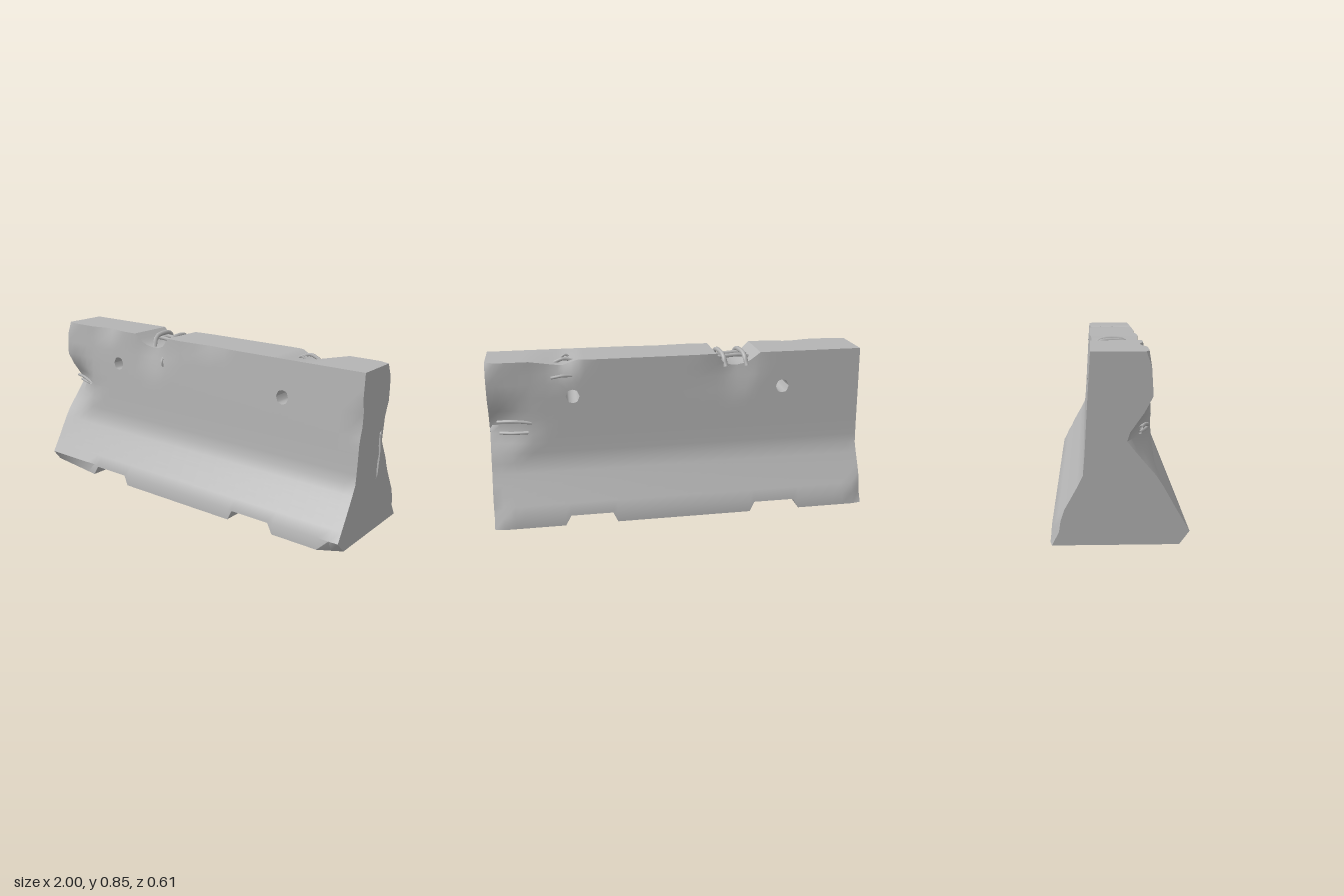
import * as THREE from 'three';
import { toCreasedNormals } from 'three/addons/utils/BufferGeometryUtils.js';

const TOP = 0.845, HOLE_Y = 0.655, HOLE_R = 0.036;

// piecewise linear lookup through [position, value] pairs
function lerpAt(points, t) {
  if (t <= points[0][0]) return points[0][1];
  for (let i = 1; i < points.length; i++) {
    const [a, va] = points[i - 1], [b, vb] = points[i];
    if (t <= b) return va + (vb - va) * (t - a) / (b - a);
  }
  return points[points.length - 1][1];
}

// half thickness of the barrier at each height
const halfWidth = [[0, 0.307], [0.06, 0.302], [0.16, 0.243], [0.26, 0.187], [0.31, 0.162], [0.4, 0.154], [0.6, 0.143], [TOP, 0.128]];
// underside with two drainage channels, upper edge with the broken gap
const underside = [[0.36, 0], [0.385, 0.052], [0.605, 0.052], [0.635, 0]];
const gap = [[-0.44, TOP], [-0.41, 0.82], [-0.385, 0.8], [-0.36, 0.787], [-0.32, 0.778], [-0.28, 0.78], [-0.24, 0.795], [-0.2, TOP]];
const backGap = [[0.525, TOP], [0.605, 0.815], [0.635, 0.815], [0.78, TOP]];

// chips and dents: side (1 front, -1 back), centre x and y, radii, depth
const dents = [
  [1, -1, 0.47, 0.24, 0.17, 0.13], [-1, 1, 0.5, 0.24, 0.17, 0.08],
  [1, -1, 0, 0.37, 0.06, 0.05], [1, 1, 0, 0.11, 0.06, 0.065],
  [-1, 1, 0.06, 0.06, 0.08, 0.04], [-1, -1, 0.06, 0.06, 0.08, 0.035],
  [1, 1, 0.62, 0.045, 0.1, 0.025], [1, -0.66, TOP, 0.12, 0.08, 0.03],
  [1, -0.3, 0.79, 0.15, 0.16, 0.03], [-1, -0.3, 0.79, 0.15, 0.16, 0.03],
  [1, 0.1, TOP, 0.16, 0.03, 0.012], [-1, 0.62, TOP, 0.13, 0.1, 0.05],
  [-1, 1, TOP, 0.06, 0.05, 0.025], [1, -1, TOP, 0.06, 0.06, 0.02],
];

function surfacePoint(x, row, side) {
  let top = lerpAt(gap, x);
  if (side < 0) top = Math.min(top, lerpAt(backGap, x));
  const y = Math.min(Math.max(row, lerpAt(underside, Math.abs(x))), top);
  let z = lerpAt(halfWidth, y);
  for (const [s, cx, cy, rx, ry, depth] of dents) {
    if (s === side) z -= depth * Math.max(0, 1 - Math.hypot((x - cx) / rx, (y - cy) / ry));
  }
  return new THREE.Vector3(x, y, z * side);
}

function buildBody() {
  const half = [0.1, 0.2, 0.24, 0.28, 0.32, 0.36, 0.385, 0.41, 0.44, 0.495, 0.525, 0.565, 0.605, 0.635, 0.7, 0.78, 0.84, 0.89, 0.95, 1];
  const xs = [...half.map((x) => -x).reverse(), 0, ...half];
  const ys = [0, 0.06, 0.11, 0.16, 0.21, 0.26, 0.31, 0.36, 0.41, 0.46, 0.5, 0.54, 0.585, HOLE_Y, 0.725, 0.78, TOP];
  const front = xs.map((x) => ys.map((y) => surfacePoint(x, y, 1)));
  const back = xs.map((x) => ys.map((y) => surfacePoint(x, y, -1)));
  const last = ys.length - 1, end = xs.length - 1;
  const pos = [];
  const tri = (a, b, c) => {
    const n = b.clone().sub(a).cross(c.clone().sub(a));
    if (n.length() > 1e-8) for (const p of [a, b, c]) pos.push(p.x, p.y, p.z);
  };
  const quad = (a, b, c, d) => { tri(a, b, c); tri(a, c, d); };

  // lifting holes: square patches of the grid are left open for them
  const j0 = ys.indexOf(0.585);
  const starts = [xs.indexOf(-0.635), xs.indexOf(0.495)];
  const inHole = (i, j) => j >= j0 && j < j0 + 2 && starts.some((s) => i >= s && i < s + 4);

  // long faces, top and underside
  for (let i = 0; i < end; i++) {
    for (let j = 0; j < last; j++) {
      if (inHole(i, j)) continue;
      quad(front[i][j], front[i + 1][j], front[i + 1][j + 1], front[i][j + 1]);
      quad(back[i + 1][j], back[i][j], back[i][j + 1], back[i + 1][j + 1]);
    }
    quad(front[i][last], front[i + 1][last], back[i + 1][last], back[i][last]);
    quad(front[i + 1][0], front[i][0], back[i][0], back[i + 1][0]);
  }

  // rims and walls of the lifting holes
  for (const s of starts) {
    const rim = [];
    for (let k = 0; k < 4; k++) rim.push([s + k, j0]);
    for (let k = 0; k < 2; k++) rim.push([s + 4, j0 + k]);
    for (let k = 0; k < 4; k++) rim.push([s + 4 - k, j0 + 2]);
    for (let k = 0; k < 2; k++) rim.push([s, j0 + 2 - k]);
    const cx = xs[s + 2];
    const edge = (i, j, side) => {
      const a = Math.atan2(ys[j] - HOLE_Y, xs[i] - cx);
      return surfacePoint(cx + HOLE_R * Math.cos(a), HOLE_Y + HOLE_R * Math.sin(a), side);
    };
    rim.forEach(([i, j], k) => {
      const [m, n] = rim[(k + 1) % rim.length];
      const f0 = edge(i, j, 1), f1 = edge(m, n, 1), b0 = edge(i, j, -1), b1 = edge(m, n, -1);
      quad(f0, front[i][j], front[m][n], f1);
      quad(b1, back[m][n], back[i][j], b0);
      quad(f0, f1, b1, b0);
    });
  }

  // end faces; the left one has a split running up it
  const slot = [[-0.05, 0.275], [-0.066, 0.29], [-0.08, 0.4], [-0.076, 0.52], [-0.066, 0.535], [-0.057, 0.5], [-0.056, 0.38]]
    .map(([z, y]) => new THREE.Vector3(1, y, z));
  for (const [i, dir] of [[0, -1], [end, 1]]) {
    const outline = [...front[i], ...back[i].slice().reverse()];
    const holes = dir > 0 ? [slot] : [];
    const flat = (list) => list.map((p) => new THREE.Vector2(p.z, p.y));
    const all = [...outline, ...holes.flat()];
    for (const t of THREE.ShapeUtils.triangulateShape(flat(outline), holes.map(flat))) {
      const [a, b, c] = t.map((k) => all[k]);
      const nx = (b.y - a.y) * (c.z - a.z) - (b.z - a.z) * (c.y - a.y);
      if (nx * dir > 0) tri(a, b, c); else tri(a, c, b);
    }
  }
  const deep = new THREE.Vector3(0.95, 0.41, -0.067);
  slot.forEach((p, k) => tri(p, deep, slot[(k + 1) % slot.length]));

  const geometry = new THREE.BufferGeometry();
  geometry.setAttribute('position', new THREE.Float32BufferAttribute(pos, 3));
  return toCreasedNormals(geometry, 0.6);
}

export function createModel() {
  const group = new THREE.Group();
  const concrete = new THREE.MeshStandardMaterial({ color: 0xb4b4b4, side: THREE.DoubleSide });
  concrete.name = 'concrete grey';

  const body = new THREE.Mesh(buildBody(), concrete);
  body.name = 'barrierBody';
  group.add(body);

  // bent reinforcing bars
  const rod = (name, r, ...points) => {
    const curve = new THREE.CatmullRomCurve3(points.map((p) => new THREE.Vector3(...p)));
    const mesh = new THREE.Mesh(new THREE.TubeGeometry(curve, 10, r, 6), concrete);
    mesh.name = name;
    group.add(mesh);
  };
  for (const x of [-0.35, -0.235]) {
    rod('gapCrossBar', 0.013, [x - 0.02, 0.77, -0.115], [x - 0.01, 0.825, -0.085], [x, 0.838, -0.02], [x + 0.005, 0.825, 0.05], [x + 0.02, 0.77, 0.085]);
  }
  for (const z of [-0.045, 0.012]) {
    rod('gapLongBar', 0.011, [-0.41, 0.795, z], [-0.36, 0.815, z], [-0.28, 0.812, z + 0.004], [-0.16, 0.8, z]);
  }
  rod('rightEndBar', 0.009, [-0.97, 0.515, 0.09], [-0.9, 0.515, 0.11], [-0.82, 0.5, 0.13]);
  rod('rightEndBar', 0.008, [-0.95, 0.49, 0.085], [-0.88, 0.492, 0.115], [-0.83, 0.49, 0.125]);
  rod('leftBackBar', 0.009, [0.96, 0.52, -0.09], [0.88, 0.53, -0.125], [0.78, 0.52, -0.135]);
  rod('leftBackBar', 0.009, [0.95, 0.46, -0.095], [0.88, 0.465, -0.125], [0.8, 0.47, -0.14]);
  rod('topBackBar', 0.009, [0.55, 0.825, -0.06], [0.6, 0.838, -0.062], [0.65, 0.82, -0.06]);
  rod('topBackBar', 0.006, [0.57, 0.83, 0.01], [0.59, 0.842, 0.01], [0.61, 0.83, 0.01]);
  rod('topBackBar', 0.008, [0.56, 0.76, -0.12], [0.61, 0.765, -0.13], [0.67, 0.755, -0.125]);
  rod('splitBar', 0.008, [0.97, 0.3, -0.058], [0.99, 0.4, -0.069], [0.97, 0.5, -0.068]);
  rod('frontBar', 0.007, [-0.24, 0.735, 0.115], [-0.232, 0.71, 0.135], [-0.225, 0.68, 0.125]);
  return group;
}
